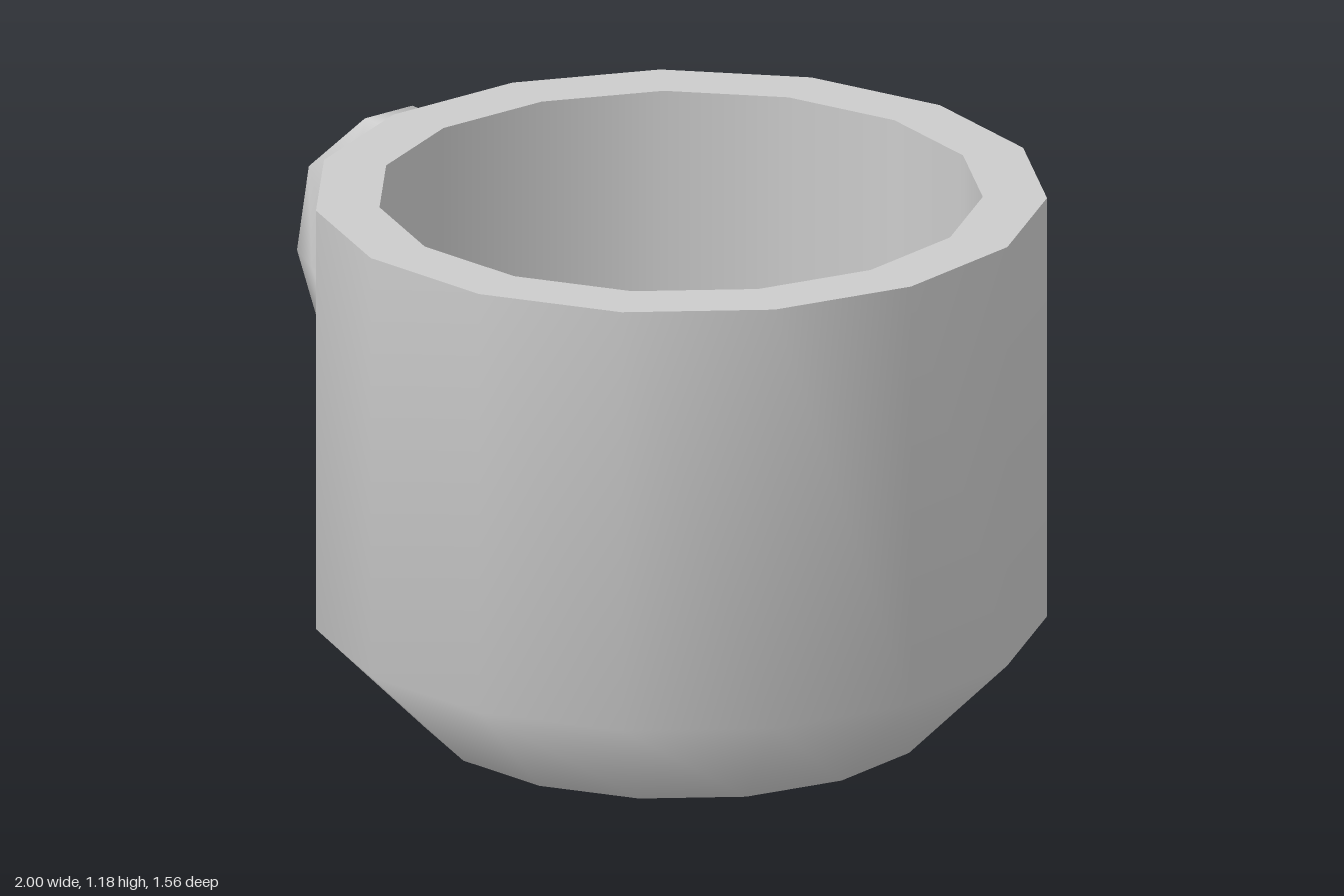
import * as THREE from 'three';

const SIDES = 15;
const BODY_X = 0.215;

export function createModel() {
  const model = new THREE.Group();
  model.name = 'mug';
  const material = new THREE.MeshStandardMaterial({ color: 0xcccccc });

  // Body: each profile is turned separately, so the edges between them stay sharp
  const body = new THREE.Group();
  body.name = 'body';
  body.position.x = BODY_X;
  model.add(body);
  const profiles = {
    base: [[0, 0], [0.549, 0]],
    outerWall: [[0.549, 0], [0.784, 0.235], [0.784, 1.18]],
    rim: [[0.784, 1.18], [0.647, 1.18]],
    innerWall: [[0.647, 1.18], [0.647, 0.18]],
    innerFloor: [[0.647, 0.18], [0, 0.18]],
  };
  for (const [name, profile] of Object.entries(profiles)) {
    const points = profile.map(([r, y]) => new THREE.Vector2(r, y));
    const mesh = new THREE.Mesh(new THREE.LatheGeometry(points, SIDES, Math.PI / 2), material);
    mesh.name = name;
    body.add(mesh);
  }

  // Handle: six-sided rings between an outer and an inner outline, ends sunk in the wall
  const handle = new THREE.Mesh(handleGeometry(), material);
  handle.name = 'handle';
  model.add(handle);
  return model;
}

function handleGeometry() {
  const outer = [[-0.5, 1.09], [-0.77, 1.09], [-0.96, 0.93], [-1, 0.73], [-0.9, 0.53], [-0.745, 0.41], [-0.5, 0.36]];
  const inner = [[-0.5, 0.88], [-0.71, 0.885], [-0.78, 0.83], [-0.79, 0.73], [-0.74, 0.66], [-0.645, 0.595], [-0.5, 0.57]];
  // Section corners: share of the way from inner to outer outline, and z
  const section = [[1, 0.065], [0.5, 0.11], [0, 0.065], [0, -0.065], [0.5, -0.11], [1, -0.065]];
  const n = section.length;
  const positions = [];
  const indices = [];
  outer.forEach(([ox, oy], i) => {
    const [ix, iy] = inner[i];
    section.forEach(([s, z], j) => {
      positions.push(ix + (ox - ix) * s, iy + (oy - iy) * s, z);
      if (i === outer.length - 1) return;
      const a = i * n + j;
      const b = i * n + (j + 1) % n;
      indices.push(a, a + n, b + n, a, b + n, b);
    });
  });
  const geometry = new THREE.BufferGeometry();
  geometry.setAttribute('position', new THREE.Float32BufferAttribute(positions, 3));
  geometry.setIndex(indices);
  geometry.computeVertexNormals();
  return geometry;
}
